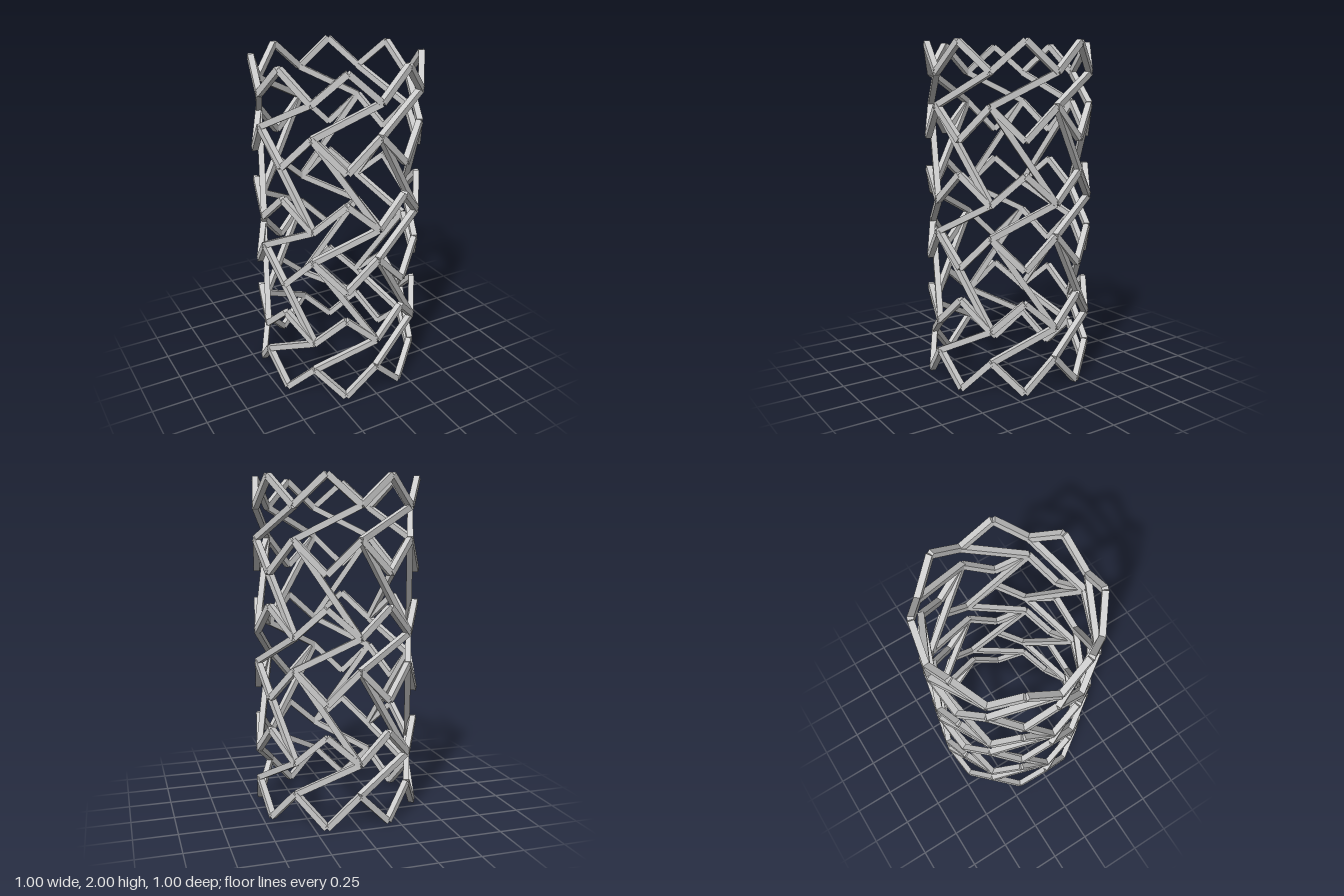
import * as THREE from 'three';

const RADIUS = 0.48;
const THICK = 0.035;
const COUNT = 8;
const PITCH = 0.72;
const STEP = Math.PI / COUNT; // half of one cell, 22.5 degrees

const material = new THREE.MeshStandardMaterial({ color: 0xcccccc, flatShading: true });

// Point on the cylinder: k counts half cells, starting at the front
const node = (k, y) =>
  new THREE.Vector3(RADIUS * Math.sin(k * STEP), y, RADIUS * Math.cos(k * STEP));

// Straight square bar between two nodes, one face turned outward
function strut(name, a, b) {
  const along = b.clone().sub(a);
  const length = along.length();
  along.normalize();
  const out = a.clone().add(b).setY(0);
  out.addScaledVector(along, -out.dot(along)).normalize();
  const side = new THREE.Vector3().crossVectors(along, out);
  const mesh = new THREE.Mesh(new THREE.BoxGeometry(THICK, length, THICK), material);
  mesh.name = name;
  mesh.quaternion.setFromRotationMatrix(new THREE.Matrix4().makeBasis(side, along, out));
  mesh.position.copy(a).add(b).multiplyScalar(0.5);
  return mesh;
}

// One ring: lower zigzag, slanted links, upper zigzag
function ring(y0) {
  const group = new THREE.Group();
  group.name = 'ring';
  const trough = y0 + 0.013, low = y0 + 0.198, high = y0 + 0.382, peak = y0 + 0.547;
  for (let i = 0; i < COUNT; i++) {
    const k = i * 2;
    for (const s of [-1, 1]) {
      group.add(strut('lowerZigzag', node(k + s, trough), node(k, low)));
      group.add(strut('upperZigzag', node(k, high), node(k + s, peak)));
    }
    group.add(strut('slantedLink', node(k, low), node(k + 2, high)));
  }
  return group;
}

// Long bars joining a ring to the one above, slanted the other way
function connectors(y0) {
  const group = new THREE.Group();
  group.name = 'connectors';
  for (let i = 0; i < COUNT; i++) {
    const k = i * 2;
    group.add(strut('connector', node(k + 2, y0 + 0.382), node(k, y0 + PITCH + 0.198)));
  }
  return group;
}

export function createModel() {
  const model = new THREE.Group();
  model.name = 'latticeTube';
  for (let r = 0; r < 3; r++) {
    model.add(ring(r * PITCH));
    if (r < 2) model.add(connectors(r * PITCH));
  }
  return model;
}
